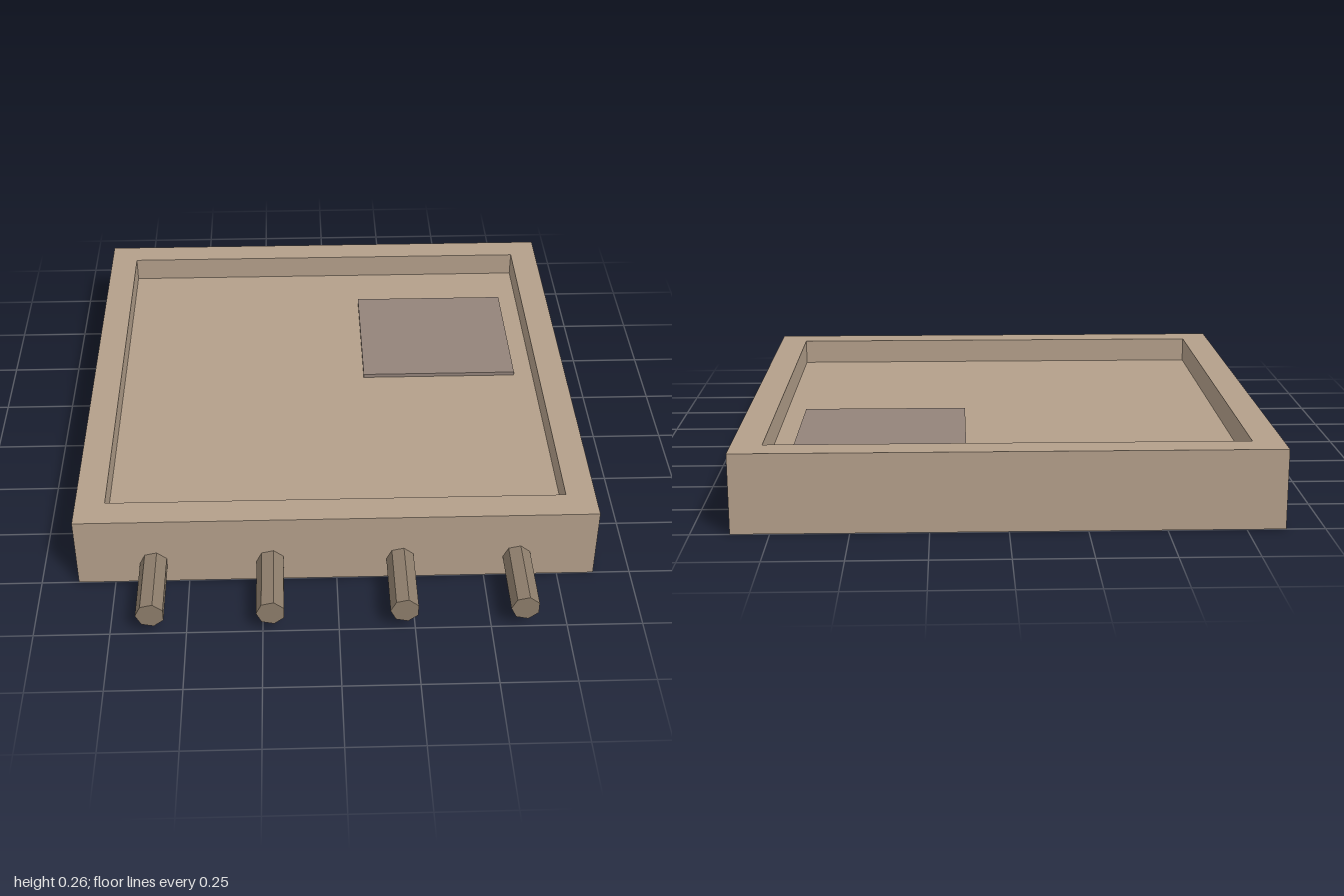
import * as THREE from 'three';

const material = (color) => new THREE.MeshStandardMaterial({ color, flatShading: true });

// Corners of a level rectangle, counter-clockwise from above
const ring = (halfWidth, back, front, y) => [
  [-halfWidth, y, front], [halfWidth, y, front], [halfWidth, y, back], [-halfWidth, y, back],
];

// Hollow tray skinned through rectangular rings: outside, over the rim, down to the floor
function trayGeometry() {
  const rings = [
    ring(0.875, -1, 0.75, 0),
    ring(0.875, -1, 0.75, 0.262),
    ring(0.775, -0.9, 0.647, 0.262),
    ring(0.775, -0.9, 0.647, 0.173),
  ];
  const positions = [];
  const quad = (a, b, c, d) => positions.push(...a, ...b, ...c, ...a, ...c, ...d);
  for (let i = 0; i < rings.length - 1; i++) {
    for (let j = 0; j < 4; j++) {
      const k = (j + 1) % 4;
      quad(rings[i][j], rings[i][k], rings[i + 1][k], rings[i + 1][j]);
    }
  }
  quad(...rings[3]);
  quad(...[...rings[0]].reverse());
  const geometry = new THREE.BufferGeometry();
  geometry.setAttribute('position', new THREE.Float32BufferAttribute(positions, 3));
  geometry.computeVertexNormals();
  return geometry;
}

export function createModel() {
  const group = new THREE.Group();
  const add = (name, geometry, mat, x = 0, y = 0, z = 0) => {
    const mesh = new THREE.Mesh(geometry, mat);
    mesh.name = name;
    mesh.position.set(x, y, z);
    group.add(mesh);
  };

  add('tray', trayGeometry(), material(0xb39f8a));

  // Thin pad lying on the recessed floor
  add('pad', new THREE.BoxGeometry(0.573, 0.014, 0.525), material(0x93837a), 0.418, 0.18, -0.432);

  // Seven-sided pegs along the front, a corner pointing to -x
  const pegGeometry = new THREE.CylinderGeometry(0.048, 0.048, 0.25, 7)
    .rotateX(Math.PI / 2)
    .rotateZ(-Math.PI / 2);
  const pegMaterial = material(0x8d7d6b);
  [-0.615, -0.223, 0.215, 0.609].forEach((x, i) => {
    add(`peg${i + 1}`, pegGeometry, pegMaterial, x, 0.08, 0.875);
  });

  return group;
}
